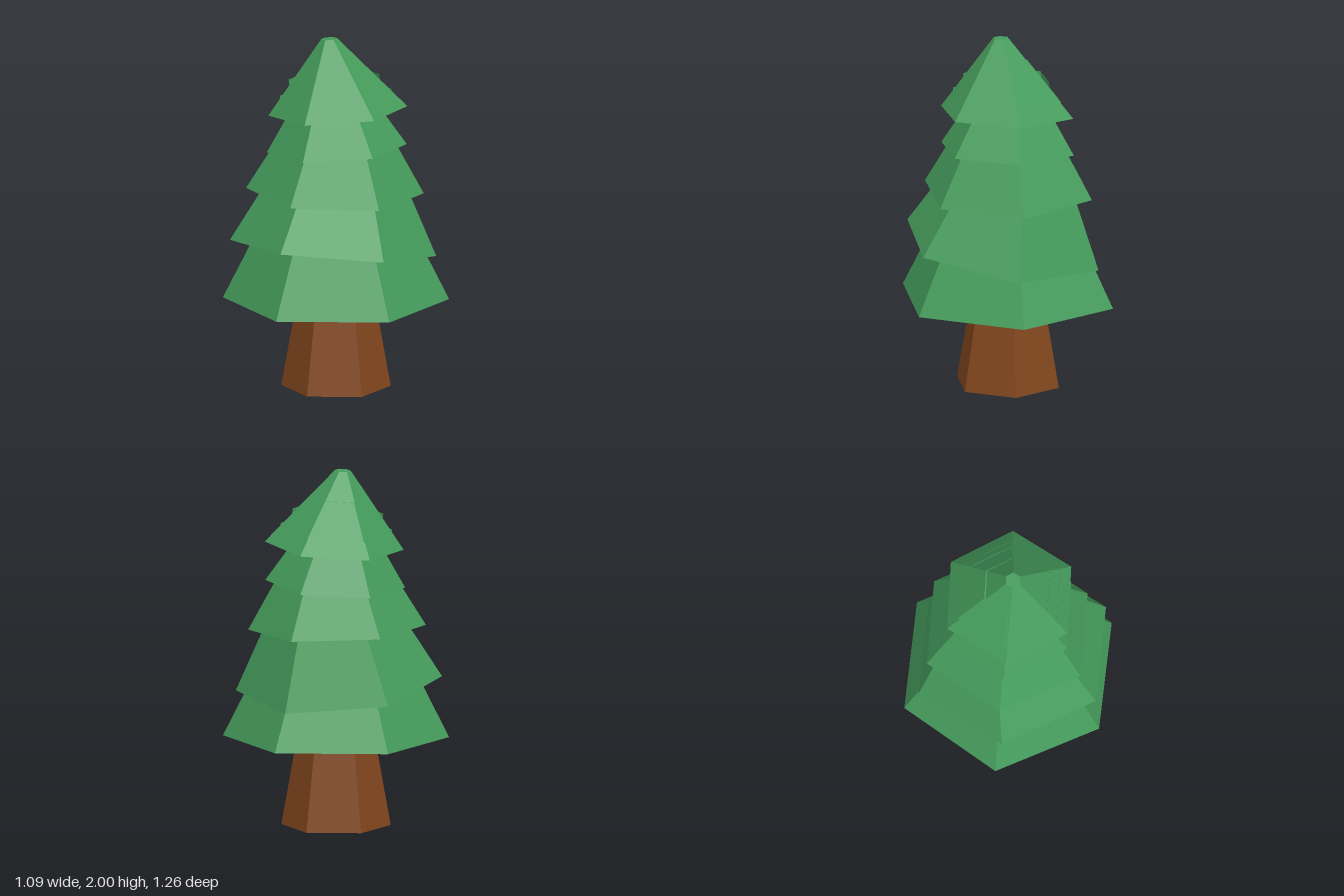
import * as THREE from 'three';

const leaf = new THREE.MeshStandardMaterial({ color: 0x459c5c, flatShading: true });
const bark = new THREE.MeshStandardMaterial({ color: 0x82461d, flatShading: true });

// Six-sided skirt of foliage with a recessed underside; lean slides the top along z
function makeTier({ name, radius, top, height, pos, tilt = [0, 0, 0], lean = 0 }) {
  const inner = radius * 0.8, depth = 0.11;
  const profile = [
    [0, depth], [inner, depth], [inner, 0], [radius, 0], [top, height], [0, height],
  ].map(([r, y]) => new THREE.Vector2(r, y));
  const geometry = new THREE.LatheGeometry(profile, 6).toNonIndexed();
  const p = geometry.attributes.position;
  for (let i = 0; i < p.count; i++) p.setZ(i, p.getZ(i) + (lean * p.getY(i)) / height);
  geometry.computeVertexNormals();
  const mesh = new THREE.Mesh(geometry, leaf);
  mesh.name = name;
  mesh.position.set(...pos);
  mesh.rotation.set(...tilt);
  return mesh;
}

export function createModel() {
  const tree = new THREE.Group();
  tree.name = 'pineTree';

  // Tapered hexagonal trunk, ending in the recess of the lowest tier
  const trunk = new THREE.Mesh(new THREE.CylinderGeometry(0.196, 0.305, 0.61, 6), bark);
  trunk.name = 'trunk';
  trunk.position.y = 0.305;
  tree.add(trunk);

  // Foliage from bottom to top, each tier slightly crooked
  const tiers = [
    { name: 'bottomTier', radius: 0.63, top: 0.38, height: 0.5, pos: [0, 0.5, 0] },
    { name: 'secondTier', radius: 0.576, top: 0.325, height: 0.48, pos: [0, 0.795, 0.03], tilt: [-0.148, 0.017, 0] },
    { name: 'thirdTier', radius: 0.495, top: 0.27, height: 0.385, pos: [-0.007, 1.117, 0], tilt: [-0.01, 0.03, -0.029] },
    { name: 'fourthTier', radius: 0.39, top: 0.2, height: 0.3, pos: [0.005, 1.362, 0], tilt: [0, 0.05, 0.066] },
    { name: 'topTier', radius: 0.388, top: 0.045, height: 0.422, pos: [0.012, 1.577, 0], tilt: [0, 0.06, 0.073], lean: 0.045 },
    // Small inner tier whose rim just shows at the back of the top
    { name: 'tipTier', radius: 0.316, top: 0.16, height: 0.19, pos: [0.002, 1.663, 0.001], tilt: [0, 0.045, 0.07], lean: 0.02 },
  ];
  for (const tier of tiers) tree.add(makeTier(tier));

  return tree;
}
